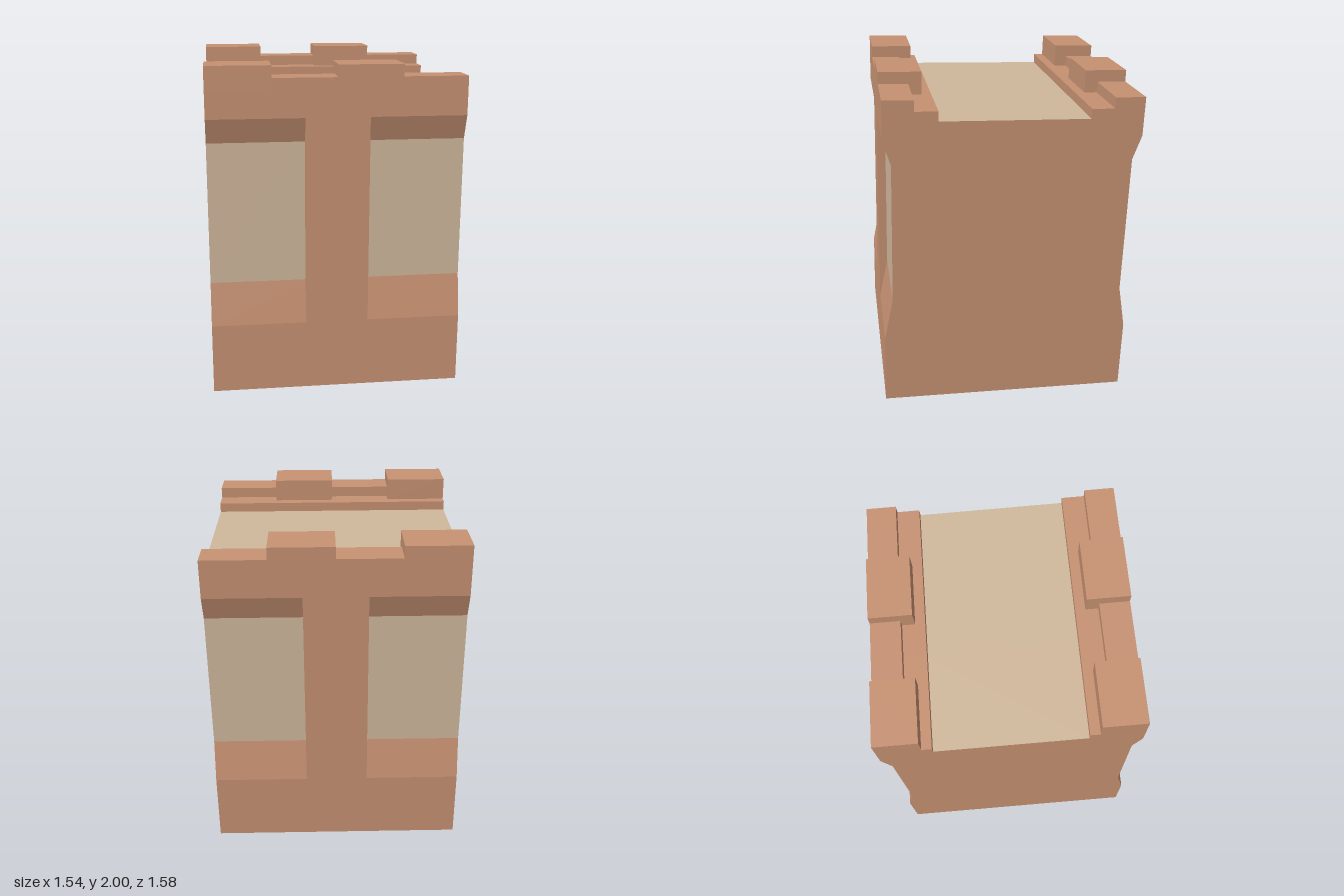
import * as THREE from 'three';

export function createModel() {
  const clay = new THREE.MeshStandardMaterial({ color: 0xc69172 });
  clay.name = 'terracotta';
  const sand = new THREE.MeshStandardMaterial({ color: 0xcfb79b });
  sand.name = 'sand';

  const W = 0.745, D = 0.74;           // half width and half depth
  const ROOF = 1.755, LEDGE = 1.812, LOW = 1.876, HIGH = 1.946;
  const RECESS = 0.048, PILLAR = 0.185;

  const tower = new THREE.Group();
  tower.name = 'tower';

  // Side profile (z, y), mirrored front to back and extruded across x
  function slab(name, x0, x1, recess) {
    const half = [
      [D, 0], [D, 0.42], [D - recess, 0.675], [D - recess, 1.508], [D, 1.65],
      [D, LEDGE], [0.432, LEDGE], [0.432, ROOF],
    ].filter(([, y]) => recess || y === 0 || y >= ROOF);
    const back = half.map(([z, y]) => [-z, y]).reverse();
    const shape = new THREE.Shape([...half, ...back].map(([z, y]) => new THREE.Vector2(z, y)));
    const geo = new THREE.ExtrudeGeometry(shape, { depth: x1 - x0, bevelEnabled: false });
    geo.rotateY(-Math.PI / 2).translate(x1, 0, 0);

    // Sand colour goes to the roof deck and the sunken upright panels
    const p = geo.attributes.position;
    const near = (a, b) => Math.abs(a - b) < 1e-4;
    geo.clearGroups();
    for (let i = 0; i < p.count; i += 3) {
      const corners = [i, i + 1, i + 2];
      const deck = corners.every(k => near(p.getY(k), ROOF));
      const panel = recess > 0 && corners.every(k => near(Math.abs(p.getZ(k)), D - recess))
        && near(p.getZ(i), p.getZ(i + 1)) && near(p.getZ(i), p.getZ(i + 2));
      geo.addGroup(i, 3, deck || panel ? 1 : 0);
    }
    const mesh = new THREE.Mesh(geo, [clay, sand]);
    mesh.name = name;
    tower.add(mesh);
  }
  slab('rightBay', -W, -PILLAR, RECESS);
  slab('centrePillar', -PILLAR, PILLAR, 0);
  slab('leftBay', PILLAR, W, RECESS);

  // Battlements: alternating tall and low blocks along front and back
  for (const side of [1, -1]) {
    for (let i = 0; i < 4; i++) {
      const tall = i % 2 === 0;
      const top = tall ? HIGH : LOW, depth = tall ? 0.25 : 0.175, width = W / 2;
      const block = new THREE.Mesh(new THREE.BoxGeometry(width, top - LEDGE, depth), clay);
      block.position.set(-W + width * (i + 0.5), (top + LEDGE) / 2, side * (D - depth / 2));
      block.name = tall ? 'merlon' : 'parapet';
      tower.add(block);
    }
  }

  // The whole tower leans very slightly
  tower.rotation.set(-0.03, -0.027, -0.006);
  tower.position.set(-0.01, 0.027, 0.03);

  const model = new THREE.Group();
  model.name = 'towerBlock';
  model.add(tower);
  return model;
}
